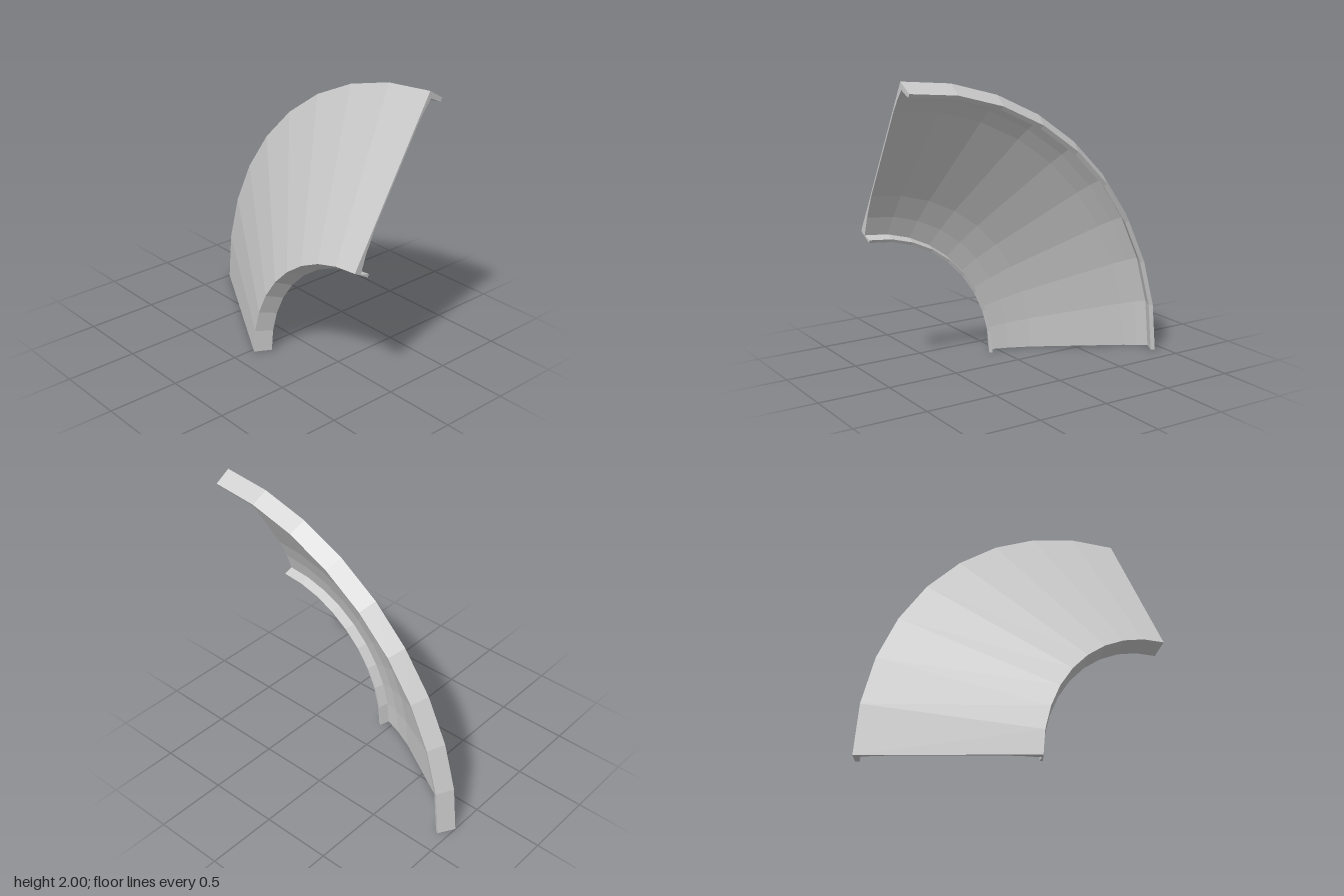
import * as THREE from 'three';

const SEGMENTS = 9; // 10 degrees per facet

// Closed cross-section as [radius, z]: outer cone, rear rim, thin inner face, inner lip
const PROFILE = [
  [0.975, 0.35], [2.0, -0.24],
  [1.935, -0.35], [1.91, -0.335], [1.95, -0.25],
  [1.89, -0.2], [1.81, -0.145], [1.23, 0.19], [1.08, 0.258],
  [0.955, 0.3], [0.935, 0.23], [0.915, 0.24],
];

// Sweeps the cross-section through a quarter turn about the z-parallel axis at x = 1
function sweepQuarter(profile, segments) {
  const n = profile.length;
  const positions = [];
  const index = [];
  for (let i = 0; i <= segments; i++) {
    const a = (i / segments) * Math.PI / 2;
    for (const [r, z] of profile) positions.push(1 - r * Math.cos(a), r * Math.sin(a), z);
  }
  for (let i = 0; i < segments; i++) {
    for (let j = 0; j < n; j++) {
      const k = (j + 1) % n;
      const a = i * n + j, b = a + n, c = i * n + k, d = c + n;
      index.push(a, b, c, b, d, c);
    }
  }
  // End caps
  const contour = profile.map(([r, z]) => new THREE.Vector2(r, z)).reverse();
  const last = segments * n;
  for (const face of THREE.ShapeUtils.triangulateShape(contour, [])) {
    const [a, b, c] = face.map((v) => n - 1 - v);
    index.push(a, c, b, last + a, last + b, last + c);
  }
  const geometry = new THREE.BufferGeometry();
  geometry.setAttribute('position', new THREE.Float32BufferAttribute(positions, 3));
  geometry.setIndex(index);
  const flat = geometry.toNonIndexed();
  flat.computeVertexNormals();
  return flat;
}

export function createModel() {
  const group = new THREE.Group();
  group.name = 'quarterConePanel';
  const material = new THREE.MeshStandardMaterial({ color: 0xcccccc, flatShading: true });
  const panel = new THREE.Mesh(sweepQuarter(PROFILE, SEGMENTS), material);
  panel.name = 'flangedConeShell';
  group.add(panel);
  return group;
}
